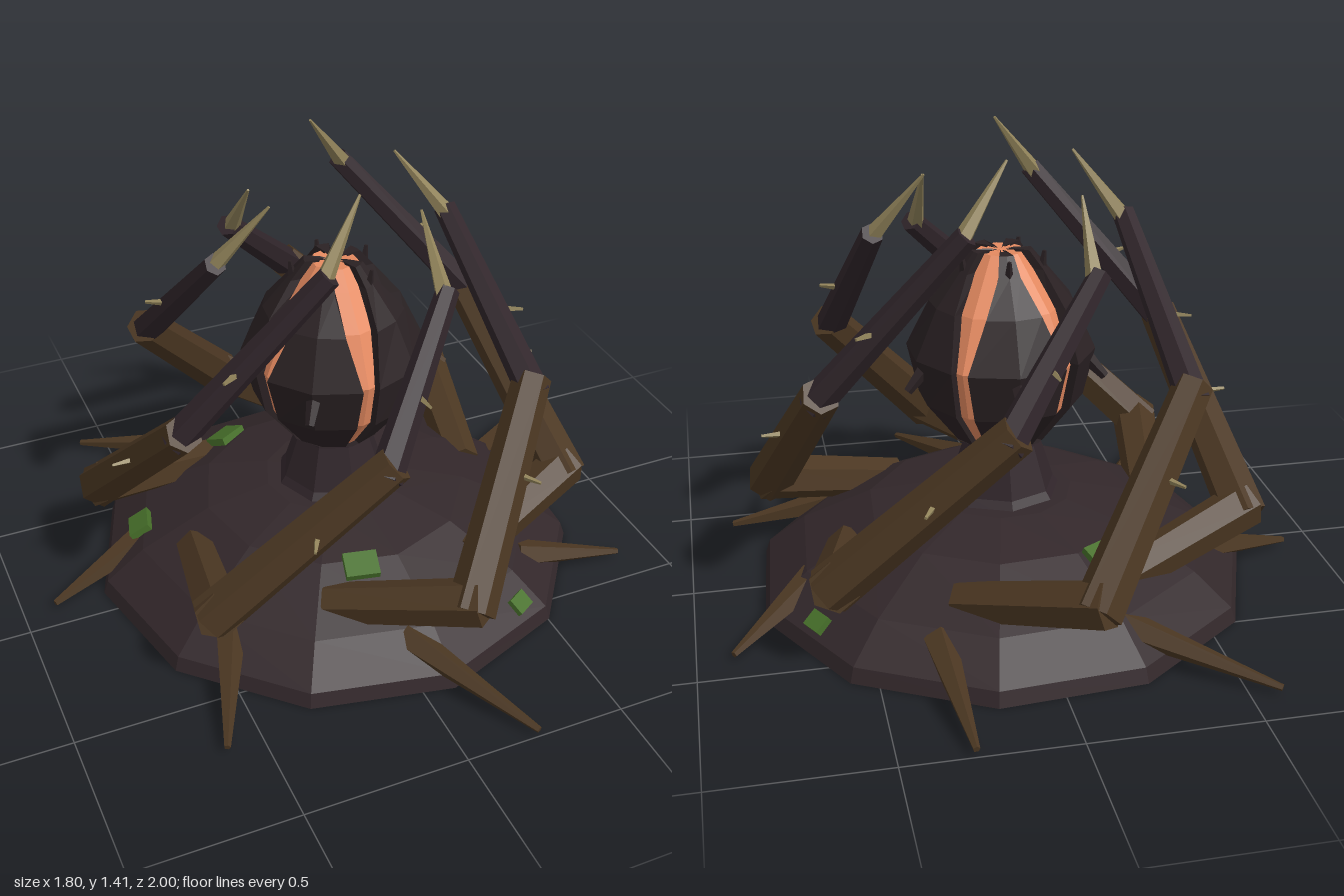
import * as THREE from 'three';

const flat = (name, color, extra = {}) =>
  Object.assign(new THREE.MeshStandardMaterial({ color, flatShading: true, ...extra }), { name });
const UP = new THREE.Vector3(0, 1, 0);
const rad = THREE.MathUtils.degToRad;

// Point at radius r, angle a (degrees from +x towards +z) and height y
const polar = (r, a, y) => new THREE.Vector3(r * Math.cos(rad(a)), y, r * Math.sin(rad(a)));

function add(parent, name, geometry, material) {
  const mesh = new THREE.Mesh(geometry, material);
  mesh.name = name;
  parent.add(mesh);
  return mesh;
}

// Tapered faceted limb from point a to point b
function limb(parent, name, a, b, r1, r2, sides, material, overlap = 0) {
  const dir = b.clone().sub(a);
  const length = dir.length();
  const mesh = add(parent, name, new THREE.CylinderGeometry(r2, r1, length + overlap * 2, sides), material);
  mesh.position.copy(a).lerp(b, 0.5);
  mesh.quaternion.setFromUnitVectors(UP, dir.normalize());
  return mesh;
}

const lathe = (profile, sides, start) =>
  new THREE.LatheGeometry(profile.map(([r, y]) => new THREE.Vector2(r, y)), sides, start);

// Bulb profile rows: height, radius, half width of the slit between petals
const ROWS = [
  [0.49, 0.15, 0.022], [0.62, 0.25, 0.03], [0.77, 0.285, 0.026], [0.92, 0.215, 0.05],
  [1.02, 0.135, 0.05], [1.075, 0.09, 0.034], [1.07, 0.03, 0.014],
];

// One curved petal with side walls, centred on angle 0
function petalGeometry() {
  const pos = [], index = [], cols = 5;
  ROWS.forEach(([y, r, slit]) => {
    const h = 36 - THREE.MathUtils.radToDeg(Math.asin(slit / r));
    const inner = Math.max(r - 0.05, 0.01);
    [[inner, h], [r, h], [r, 0], [r, -h], [inner, -h]].forEach(([q, a]) => pos.push(...polar(q, a, y)));
  });
  for (let i = 0; i < ROWS.length - 1; i++) {
    for (let j = 0; j < cols - 1; j++) {
      const a = i * cols + j, b = a + 1, c = a + cols, d = c + 1;
      index.push(a, b, d, a, d, c);
    }
  }
  const g = new THREE.BufferGeometry();
  g.setAttribute('position', new THREE.Float32BufferAttribute(pos, 3));
  g.setIndex(index);
  g.computeVertexNormals();
  return g;
}

export function createModel() {
  const model = new THREE.Group();
  model.name = 'thornPlant';
  const body = new THREE.Group();
  body.name = 'plantBody';
  body.position.set(0.035, 0, -0.04);
  model.add(body);

  const soil = flat('soil', 0x32272a);
  const bark = flat('bark', 0x4b3722);
  const darkWood = flat('darkWood', 0x30252a);
  const husk = flat('husk', 0x2a2123, { side: THREE.DoubleSide });
  const glow = flat('glow', 0xe58a60);
  const ivory = flat('ivory', 0x91835a);
  const moss = flat('moss', 0x47702a);

  // Mound
  add(body, 'mound', lathe(
    [[0, 0], [0.775, 0], [0.76, 0.045], [0.64, 0.14], [0.42, 0.25], [0.22, 0.295], [0, 0.3]],
    11, rad(70)), soil);

  // Stalk
  add(body, 'stalk', lathe([[0.2, 0.27], [0.165, 0.32], [0.12, 0.46], [0.11, 0.53]], 8, 0), darkWood);

  // Glowing core inside the bulb
  const core = ROWS.map(([y, r]) => [Math.max(r - 0.022, 0.012), y - 0.006]);
  add(body, 'core', lathe([[0, 0.484], ...core, [0, 1.07]], 10, 0), glow);
  add(body, 'bulbFloor', lathe([[0, 0.48], [0.152, 0.488]], 10, 0), husk);

  // Five petals with small nubs
  const petal = petalGeometry();
  for (let i = 0; i < 5; i++) {
    const a = 90 + 36 + i * 72;
    add(body, 'petal', petal, husk).rotation.y = -rad(a);
    limb(body, 'petalNub', polar(0.25, a, 0.75), polar(0.315, a, 0.68), 0.025, 0.014, 5, husk);
    limb(body, 'petalThorn', polar(0.12, a, 1.0), polar(0.13, a, 1.07), 0.016, 0.006, 4, husk);
  }

  // Six spiralling tentacles in three alternating heights
  const heights = [1.06, 1.2, 1.13];
  for (let i = 0; i < 6; i++) {
    const t = new THREE.Group();
    t.name = 'tentacle';
    body.add(t);
    const s = i * 60, top = heights[i % 3];
    const root = polar(0.5, 172 + s, 0.17);
    const elbow = polar(0.74, 140 + s, 0.275);
    const knee = polar(0.61, 99 + s, 0.73);
    const wrist = polar(0.385, 58 + s, top);
    const tip = polar(0.26, 38 + s, top + 0.2);
    limb(t, 'tentacleRoot', root, elbow, 0.062, 0.074, 6, bark, 0.03);
    limb(t, 'tentacleLower', elbow, knee, 0.074, 0.058, 6, bark, 0.03);
    limb(t, 'tentacleUpper', knee, wrist, 0.05, 0.034, 6, darkWood, 0.03);
    limb(t, 'claw', wrist, tip, 0.029, 0.004, 5, ivory, 0.005);
    // Small thorns pointing outward
    [[elbow, knee, 0.6, 0.11], [knee, wrist, 0.45, 0.09]].forEach(([p, q, k, len]) => {
      const from = p.clone().lerp(q, k);
      const out = new THREE.Vector3(from.x, 0, from.z).normalize();
      limb(t, 'thorn', from, from.clone().addScaledVector(out, len), 0.014, 0.005, 4, ivory);
    });
  }

  // Seven ground spikes
  const reach = [0.935, 1.055, 0.99];
  for (let i = 0; i < 7; i++) {
    const a = 28 + i * 360 / 7;
    limb(body, 'groundSpike', polar(0.61, a + 13, 0.1), polar(reach[i % 3], a, 0.022), 0.05, 0.01, 5, bark);
  }

  // Moss patches lying on the slope: angle, radius, height, tilt, size
  [[240, 0.455, 0.238, 25, 0.09], [102, 0.43, 0.25, 22, 0.09], [195, 0.63, 0.145, 33, 0.08],
    [58, 0.7, 0.08, 38, 0.06], [-29, 0.7, 0.08, 38, 0.06]].forEach(([a, r, y, tilt, size]) => {
    const patch = add(body, 'mossPatch', new THREE.BoxGeometry(size * 0.9, 0.025, size * 1.15), moss);
    patch.position.copy(polar(r, a, y));
    patch.rotation.set(0, -rad(a), -rad(tilt), 'YXZ');
  });

  return model;
}
